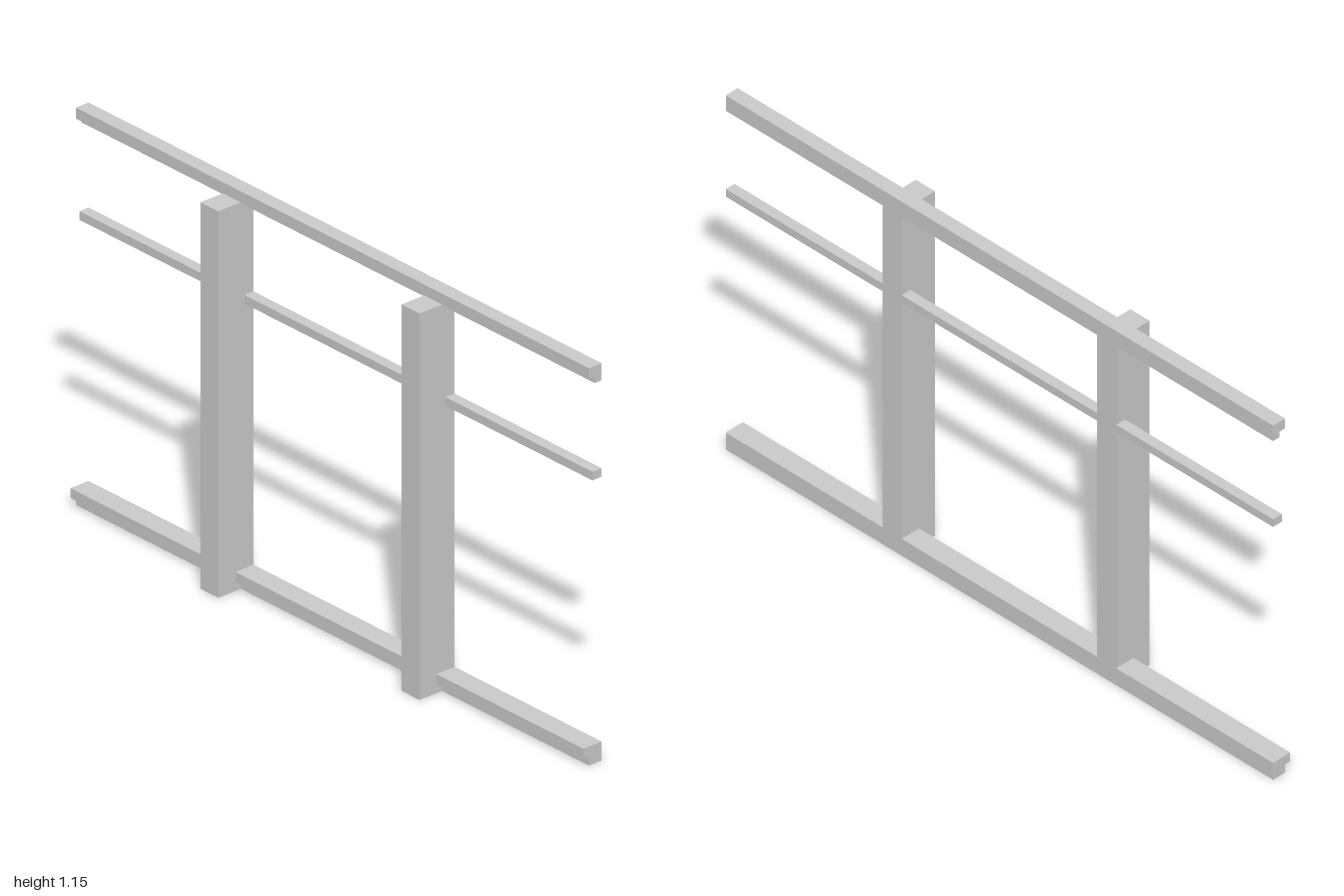
import * as THREE from 'three';

const BACK = -0.061;
const FRONT = 0.061;

// Rail cross-sections as [z, y], each flush with the back of the posts
const topRail = [[BACK, 1.104], [-0.037, 1.104], [-0.037, 1.122], [-0.017, 1.122], [-0.017, 1.154], [BACK, 1.154]];
const middleRail = [[BACK, 0.824], [-0.029, 0.824], [-0.029, 0.849], [BACK, 0.849]];
const bottomRail = [[BACK, 0], [-0.017, 0], [-0.017, 0.027], [0.002, 0.027], [0.002, 0.055], [BACK, 0.055]];

// Post cross-section, notched at the back where the rails are let in
const post = [
  [FRONT, 0], [FRONT, 1.122],
  [-0.037, 1.122], [-0.037, 1.104], [BACK, 1.104],
  [BACK, 0.849], [-0.029, 0.849], [-0.029, 0.824], [BACK, 0.824],
  [BACK, 0.055], [0.002, 0.055], [0.002, 0.027], [-0.017, 0.027], [-0.017, 0],
];

export function createModel() {
  const group = new THREE.Group();
  const material = new THREE.MeshStandardMaterial({ color: 0xcccccc });

  // Extrudes a [z, y] profile along x, centred on the given x
  const addBar = (name, profile, length, x = 0) => {
    const shape = new THREE.Shape(profile.map(([z, y]) => new THREE.Vector2(-z, y)));
    const geometry = new THREE.ExtrudeGeometry(shape, { depth: length, bevelEnabled: false });
    geometry.translate(0, 0, -length / 2).rotateY(Math.PI / 2);
    const mesh = new THREE.Mesh(geometry, material);
    mesh.name = name;
    mesh.position.x = x;
    group.add(mesh);
  };

  // Long horizontal rails
  addBar('topRail', topRail, 2);
  addBar('middleRail', middleRail, 2);
  addBar('bottomRail', bottomRail, 2);

  // Pair of upright posts
  addBar('leftPost', post, 0.07, 0.392);
  addBar('rightPost', post, 0.07, -0.392);

  return group;
}
